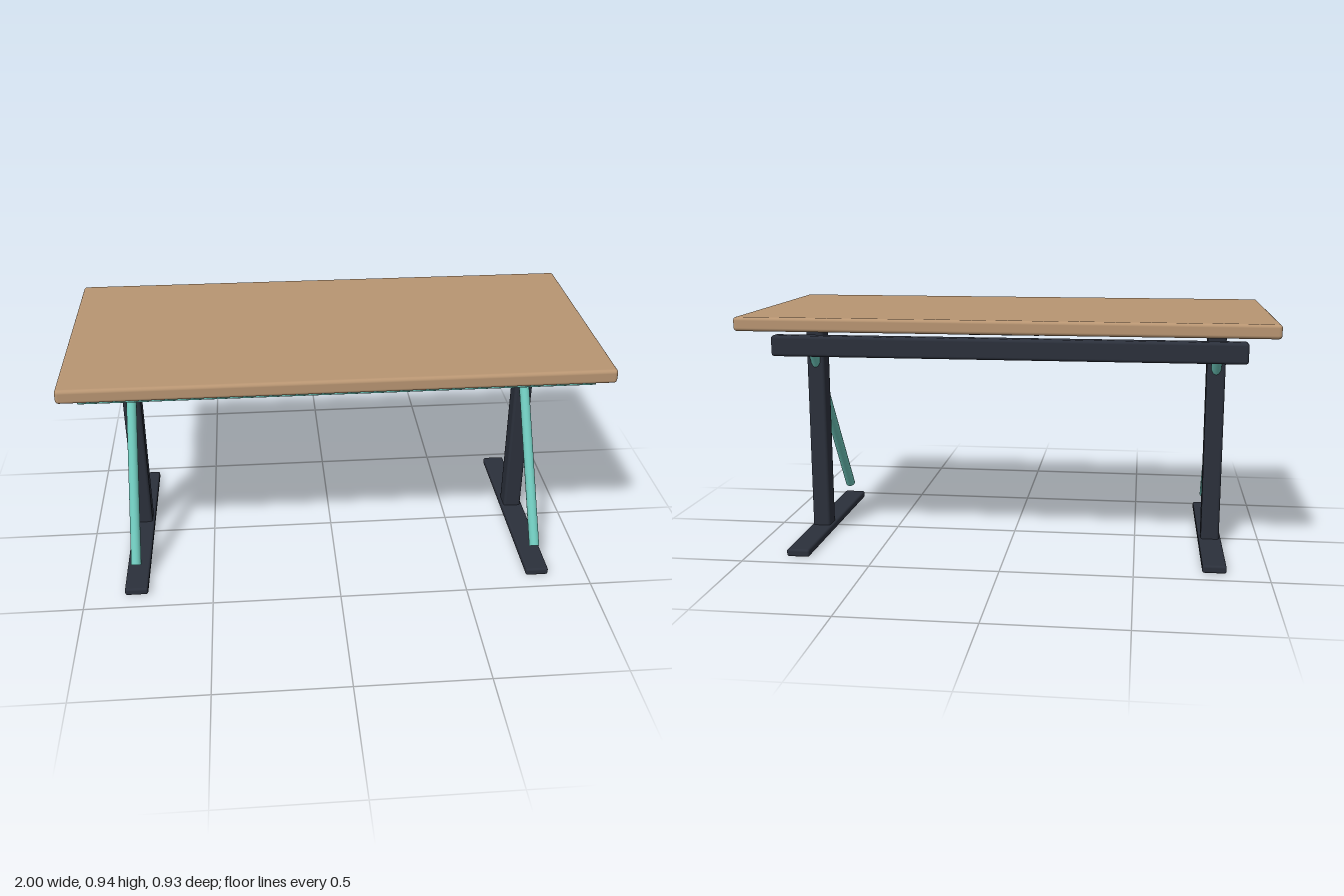
import * as THREE from 'three';
import { RoundedBoxGeometry } from 'three/addons/geometries/RoundedBoxGeometry.js';

const wood = new THREE.MeshStandardMaterial({ color: 0xb89572 });
const dark = new THREE.MeshStandardMaterial({ color: 0x2b303b });
const teal = new THREE.MeshStandardMaterial({ color: 0x6cc4b8 });

// Rounded box given by its size and centre
function block(name, material, [w, h, d], [x, y, z], radius) {
  const mesh = new THREE.Mesh(new RoundedBoxGeometry(w, h, d, 4, radius), material);
  mesh.name = name;
  mesh.position.set(x, y, z);
  return mesh;
}

// Round bar between two points
function bar(name, material, from, to, radius) {
  const along = to.clone().sub(from);
  const mesh = new THREE.Mesh(new THREE.CylinderGeometry(radius, radius, along.length(), 24), material);
  mesh.name = name;
  mesh.position.copy(from).add(to).multiplyScalar(0.5);
  mesh.quaternion.setFromUnitVectors(new THREE.Vector3(0, 1, 0), along.normalize());
  return mesh;
}

export function createModel() {
  const desk = new THREE.Group();
  desk.name = 'desk';

  // Top, rear beam and the small fittings under the top
  desk.add(
    block('desktop', wood, [2, 0.053, 0.934], [0, 0.9115, 0], 0.013),
    block('rearBeam', dark, [1.8, 0.08, 0.06], [0, 0.815, -0.318], 0.012),
    block('frontStrip', teal, [1.85, 0.014, 0.014], [0, 0.885, 0.45], 0.003),
    block('cableSlot', dark, [0.28, 0.014, 0.022], [0, 0.886, -0.405], 0.003)
  );

  // Left and right leg frames
  for (const side of [-1, 1]) {
    const x = side * 0.8;
    const leg = new THREE.Group();
    leg.name = side > 0 ? 'leftLeg' : 'rightLeg';
    leg.add(
      block('foot', dark, [0.09, 0.03, 0.86], [x, 0.015, 0], 0.009),
      block('column', dark, [0.072, 0.85, 0.08], [x, 0.441, -0.068], 0.012),
      bar('brace', teal, new THREE.Vector3(x, 0.089, 0.35), new THREE.Vector3(x, 0.789, -0.149), 0.02)
    );
    desk.add(leg);
  }
  return desk;
}
